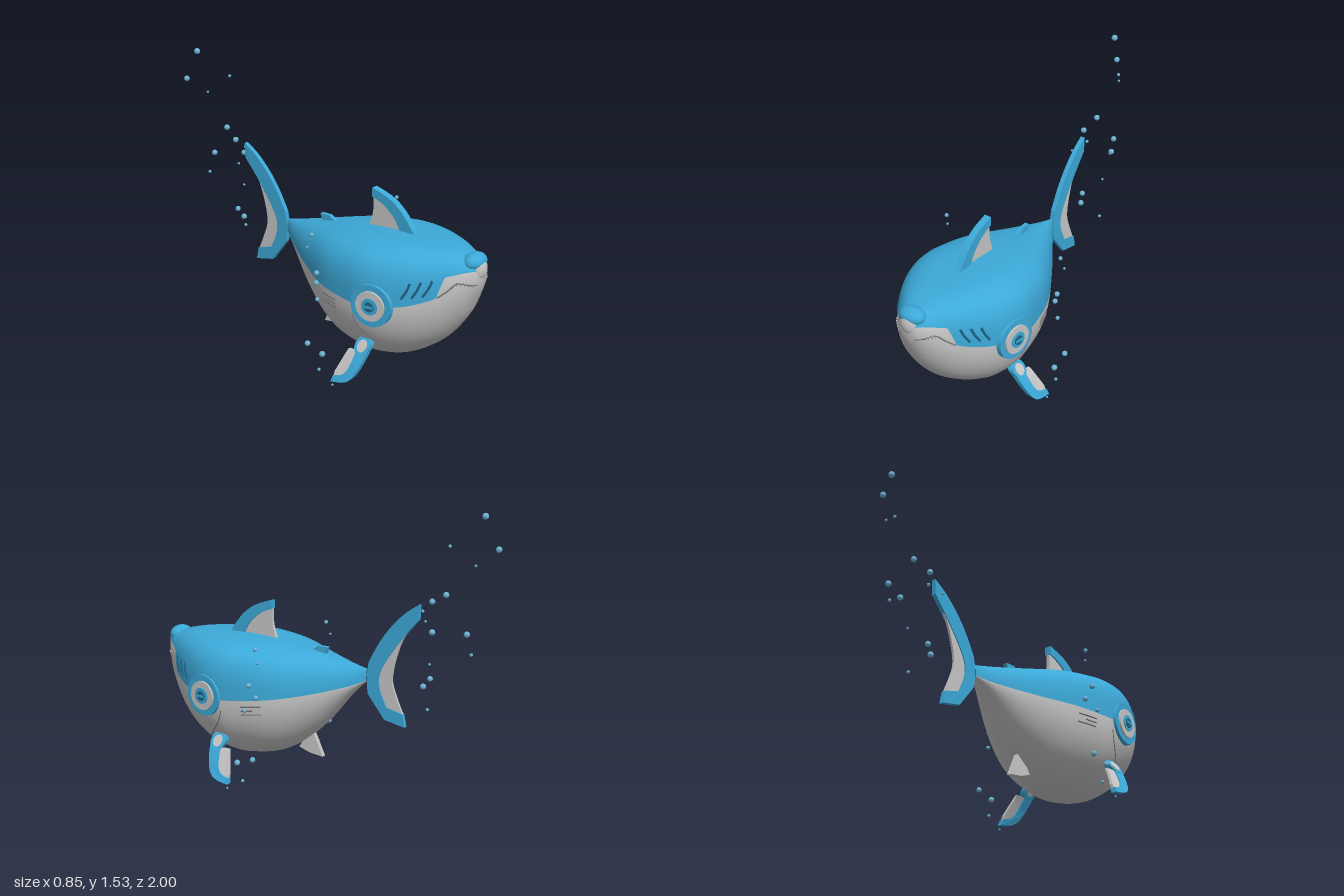
import * as THREE from 'three';

const mat = (name, color) => Object.assign(new THREE.MeshStandardMaterial({ color }), { name });
const blue = mat('sea blue', 0x3ca9d8);
const grey = mat('light grey', 0xc6c6c6);
const groove = mat('groove grey', 0x777777);
const slit = mat('slit blue', 0x1f6385);
const bubbleBlue = mat('bubble blue', 0x6db2d2);

// Body stations: z, half width, top, bottom, height of widest point, upper roundness
const rows = [
  [-0.275, 0.012, 0.668, 0.6, 0.605, 2], [-0.2, 0.062, 0.684, 0.53, 0.575, 2.1],
  [0, 0.192, 0.726, 0.302, 0.527, 2.5], [0.2, 0.3, 0.76, 0.155, 0.497, 3.1],
  [0.4, 0.346, 0.778, 0.108, 0.48, 3.5], [0.5, 0.348, 0.781, 0.114, 0.478, 3.5],
  [0.6, 0.325, 0.78, 0.14, 0.487, 3.4], [0.7, 0.28, 0.777, 0.195, 0.503, 3.2],
  [0.8, 0.215, 0.77, 0.277, 0.537, 2.9], [0.9, 0.135, 0.75, 0.41, 0.59, 2.5],
  [0.95, 0.086, 0.738, 0.515, 0.633, 2.2], [0.98, 0.045, 0.726, 0.595, 0.655, 2], [0.99, 0.004, 0.7, 0.65, 0.675, 2],
];
const tangent = (i, k) => {
  const a = rows[Math.max(i - 1, 0)], b = rows[Math.min(i + 1, rows.length - 1)];
  return (b[k] - a[k]) / (b[0] - a[0]);
};
function station(z) {
  let i = 0;
  while (i < rows.length - 2 && z > rows[i + 1][0]) i++;
  const a = rows[i], b = rows[i + 1], d = b[0] - a[0];
  const t = THREE.MathUtils.clamp((z - a[0]) / d, 0, 1), t2 = t * t, t3 = t2 * t;
  const [, w, top, bottom, mid, n] = a.map((v, k) => (2 * t3 - 3 * t2 + 1) * v + (t3 - 2 * t2 + t) * d * tangent(i, k)
    + (3 * t2 - 2 * t3) * b[k] + (t3 - t2) * d * tangent(i + 1, k));
  return { w: Math.max(w, 0.003), top, bottom, mid, n };
}

// Colour border: follows the widest line, then steps up over the lip
const lip = [[0.835, 0.558], [0.862, 0.662], [0.92, 0.68], [0.96, 0.688], [0.99, 0.69]];
function seamAngle(z, s) {
  if (z < lip[0][0]) return 0;
  const i = Math.max(1, lip.findIndex((p) => p[0] >= z - 1e-9));
  const [a, b] = [lip[i - 1], lip[i]];
  const y = a[1] + (b[1] - a[1]) * (z - a[0]) / (b[0] - a[0]);
  const v = THREE.MathUtils.clamp((y - s.mid) / (s.top - s.mid), 0, 0.97);
  return Math.asin(v ** (s.n / 2));
}

// Half of the body skin, either the back or the belly
function skin(upper) {
  const zs = lip.map((p) => p[0]).concat([0.836, 0.975]);
  for (let i = 0; i <= 70; i++) zs.push(-0.275 + 1.265 * Math.sin(i / 70 * Math.PI / 2));
  zs.sort((a, b) => a - b);
  const pos = [], index = [], m = 48;
  zs.forEach((z, i) => {
    const s = station(z), t0 = seamAngle(z, s);
    for (let j = 0; j <= m; j++) {
      const t = upper ? t0 + (Math.PI - 2 * t0) * j / m : -Math.PI - t0 + (Math.PI + 2 * t0) * j / m;
      const c = Math.cos(t), sn = Math.sin(t), e = sn > 0 ? 2 / s.n : 1;
      const h = sn > 0 ? s.top - s.mid : s.mid - s.bottom;
      pos.push(Math.sign(c) * s.w * Math.abs(c) ** e, s.mid + Math.sign(sn) * h * Math.abs(sn) ** e, z);
      if (i && j) {
        const d = i * (m + 1) + j, a = d - m - 2;
        index.push(a, a + 1, d, a, d, d - 1);
      }
    }
  });
  const g = new THREE.BufferGeometry();
  g.setAttribute('position', new THREE.Float32BufferAttribute(pos, 3));
  g.setIndex(index);
  g.computeVertexNormals();
  return g;
}

// Point on the body at a given z and height
function onBody(z, y, side) {
  const s = station(z), up = y > s.mid, n = up ? s.n : 2;
  const v = Math.min(1, Math.abs(y - s.mid) / (up ? s.top - s.mid : s.mid - s.bottom));
  return new THREE.Vector3(side * s.w * (1 - v ** n) ** (1 / n), y, z);
}

// Flat part in the z-y plane; each run of points is a smooth edge
function plate(half, runs) {
  const pts = runs.flatMap((r) => {
    const v = r.map((p) => new THREE.Vector2(...p));
    return v.length > 2 ? new THREE.SplineCurve(v).getPoints(14) : v;
  });
  const g = new THREE.ExtrudeGeometry(new THREE.Shape(pts), { depth: 2 * half, bevelEnabled: false });
  return g.translate(0, 0, -half).rotateY(-Math.PI / 2);
}

export function createModel() {
  const model = new THREE.Group();
  model.name = 'shark';
  const add = (name, geometry, material, parent = model) => {
    const mesh = new THREE.Mesh(geometry, material);
    mesh.name = name;
    parent.add(mesh);
    return mesh;
  };
  const ball = (name, r, p, material) => {
    const mesh = add(name, new THREE.SphereGeometry(1, 24, 16), material);
    mesh.scale.set(...r);
    mesh.position.set(...p);
  };
  const disc = (name, r, depth, x, material, parent) => {
    const g = new THREE.CylinderGeometry(r * 0.96, r, depth, 40).rotateZ(-Math.PI / 2);
    add(name, g, material, parent).position.x = x;
  };

  add('back', skin(true), blue);
  add('belly', skin(false), grey);
  ball('noseCap', [0.075, 0.046, 0.055], [0, 0.72, 0.935], blue);
  ball('noseTip', [0.054, 0.066, 0.042], [0, 0.685, 0.956], grey);

  // Dorsal fins
  add('dorsalFinEdge', plate(0.02, [[[0.585, 0.76], [0.57, 0.79], [0.5, 0.88], [0.42, 0.94], [0.31, 0.978]],
    [[0.31, 0.93], [0.39, 0.895], [0.46, 0.83], [0.5, 0.75]]]), blue);
  add('dorsalFinWeb', plate(0.011, [[[0.51, 0.75], [0.46, 0.84], [0.39, 0.9], [0.312, 0.935]],
    [[0.312, 0.86], [0.305, 0.82], [0.28, 0.75]]]), grey);
  add('smallDorsalFin', plate(0.013, [[[0.08, 0.72], [0.02, 0.757]], [[-0.04, 0.757], [-0.02, 0.7]]]), blue);
  add('analFin', plate(0.013, [[[0.14, 0.17], [0.06, 0.29]], [[-0.01, 0.135], [0.07, 0.145]]]), grey);

  // Tail
  add('tailEdge', plate(0.013, [[[-0.285, 0.535], [-0.278, 0.63], [-0.29, 0.71]],
    [[-0.29, 0.71], [-0.35, 0.82], [-0.42, 0.915], [-0.5, 0.995], [-0.58, 1.05]],
    [[-0.575, 0.965], [-0.475, 0.845], [-0.37, 0.69], [-0.35, 0.59], [-0.395, 0.475]],
    [[-0.49, 0.45], [-0.505, 0.38]], [[-0.385, 0.405], [-0.285, 0.535]]]), blue);
  add('tailWeb', plate(0.007, [[[-0.572, 0.97], [-0.47, 0.86], [-0.36, 0.7], [-0.34, 0.59], [-0.385, 0.47]],
    [[-0.49, 0.445], [-0.445, 0.55], [-0.425, 0.63], [-0.445, 0.74], [-0.49, 0.86], [-0.572, 0.97]]]), grey);

  for (const side of [1, -1]) {
    const label = side > 0 ? 'left' : 'right';
    const line = (name, pts, r, material) => {
      const c = new THREE.CatmullRomCurve3(pts.map(([z, y]) => onBody(z, y, side)));
      add(label + name, new THREE.TubeGeometry(c, 24, r, 6), material);
    };

    // Mouth, teeth, gills and panel lines
    line('MouthLine', [[0.978, 0.612], [0.955, 0.62], [0.92, 0.632], [0.905, 0.625], [0.88, 0.595], [0.838, 0.556]], 0.004, groove);
    for (let i = 0; i < 5; i++) {
      const tooth = add(label + 'Tooth', new THREE.ConeGeometry(0.008, 0.022, 4), grey);
      tooth.position.copy(onBody(0.965 - i * 0.013, 0.615 + i * 0.003, side));
      tooth.rotation.x = Math.PI;
    }
    for (let i = 0; i < 3; i++) {
      const z = 0.815 - i * 0.045, y = 0.645 - i * 0.008;
      line('Gill', [[z, y], [z - 0.012, y - 0.04], [z - 0.035, y - 0.085]], 0.007, slit);
      line('SideVent', [[0.315, 0.452 - i * 0.022], [0.26, 0.456 - i * 0.022], [i === 1 ? 0.25 : 0.205, 0.46 - i * 0.022]], 0.004, groove);
    }
    line('BellyLine', [[0.43, 0.42], [0.46, 0.35], [0.53, 0.27], [0.6, 0.21], [0.68, 0.184]], 0.003, groove);

    // Round side pod
    const pod = new THREE.Group();
    pod.name = label + 'Pod';
    pod.position.set(side * 0.317, 0.488, 0.542);
    pod.rotation.y = side > 0 ? -0.16 : Math.PI + 0.16;
    model.add(pod);
    disc('podRim', 0.118, 0.06, 0, blue, pod);
    disc('podRing', 0.083, 0.06, 0.01, grey, pod);
    disc('podCore', 0.046, 0.06, 0.015, blue, pod);
    disc('podPupil', 0.027, 0.006, 0.046, slit, pod);
    add('podBar', new THREE.BoxGeometry(0.006, 0.012, 0.045), blue, pod).position.x = 0.05;

    // Pectoral fin, slanting outwards as it drops
    const slant = (g) => {
      const p = g.attributes.position;
      for (let i = 0; i < p.count; i++) {
        const drop = 0.27 - p.getY(i);
        p.setX(i, p.getX(i) + side * (0.272 + 0.72 * drop - 0.7 * drop * drop));
      }
      g.computeVertexNormals();
      return g;
    };
    const pivot = (r, half) => slant(new THREE.CylinderGeometry(r, r, 2 * half, 28).rotateZ(Math.PI / 2).translate(0, 0.235, 0.475));
    add(label + 'PectoralPivot', pivot(0.046, 0.018), blue);
    add(label + 'PectoralHub', pivot(0.028, 0.022), grey);
    add(label + 'PectoralEdge', slant(plate(0.016, [[[0.52, 0.235], [0.505, 0.16], [0.475, 0.085], [0.43, 0.05], [0.35, 0.035]],
      [[0.355, 0.065], [0.405, 0.08], [0.435, 0.12], [0.45, 0.2]]])), blue);
    add(label + 'PectoralWeb', slant(plate(0.008, [[[0.455, 0.2], [0.44, 0.12], [0.41, 0.075], [0.355, 0.06]],
      [[0.355, 0.085], [0.375, 0.14], [0.395, 0.2]]])), grey);

    // Bubbles beside the body: x, y, z, radius
    for (const [x, y, z, r] of [[0.37, 0.793, 0.19, 0.011], [0.382, 0.724, 0.17, 0.007], [0.378, 0.595, 0.228, 0.014],
      [0.35, 0.525, 0.203, 0.014], [0.395, 0.46, 0.245, 0.011], [0.408, 0.2, 0.19, 0.015],
      [0.408, 0.168, 0.288, 0.016], [0.4, 0.068, 0.26, 0.009], [0.408, 0.012, 0.355, 0.006]])
      ball(label + 'Bubble', [r, r, r], [side * x, y, z], bubbleBlue);
  }

  // Bubbles behind the tail
  for (const [x, y, z, r] of [[-0.02, 1.523, -0.915, 0.017], [-0.04, 1.36, -0.983, 0.016], [0.095, 1.38, -0.78, 0.009],
    [0.032, 1.282, -0.893, 0.007], [0, 1.112, -0.722, 0.016], [-0.028, 1.063, -0.632, 0.016],
    [0.015, 1.018, -0.6, 0.009], [-0.068, 0.945, -0.577, 0.007], [0.115, 0.94, -0.702, 0.016],
    [0.035, 0.93, -0.856, 0.016], [0.005, 0.82, -0.87, 0.009], [0.08, 0.762, -0.675, 0.007],
    [-0.025, 0.655, -0.63, 0.015], [-0.012, 0.612, -0.597, 0.016], [0.075, 0.52, -0.665, 0.009]])
    ball('tailBubble', [r, r, r], [x, y, z], bubbleBlue);
  return model;
}
